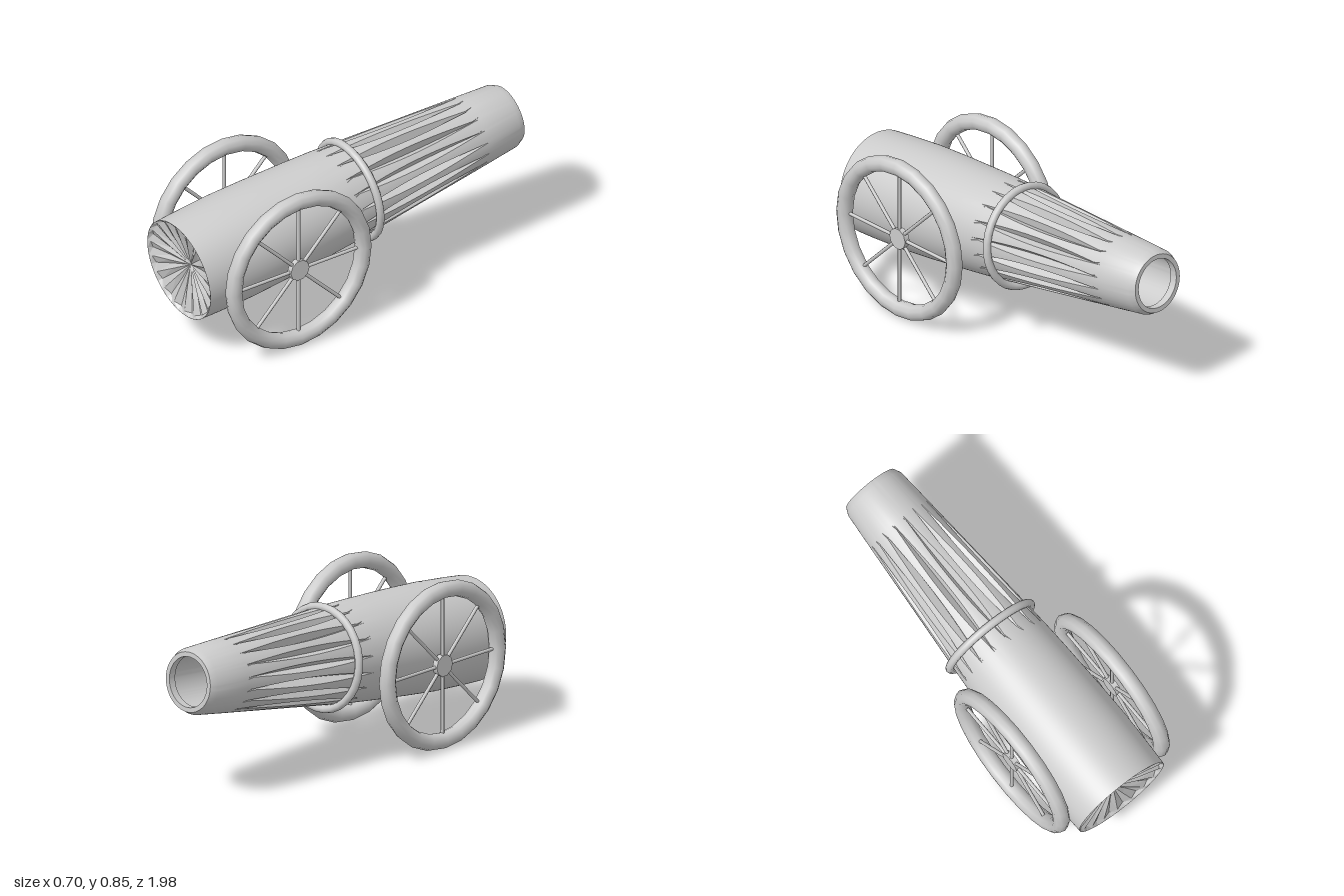
import * as THREE from 'three';
import { toCreasedNormals } from 'three/addons/utils/BufferGeometryUtils.js';

const FLUTES = 18;
const COLS = 6; // columns of vertices per flute
const FLUTE_START = 0.9, FLUTE_END = 1.72, FLUTE_DEPTH = 0.04;

const material = new THREE.MeshStandardMaterial({ color: 0xcccccc, side: THREE.DoubleSide });
const facetMaterial = new THREE.MeshStandardMaterial({ color: 0xcccccc, side: THREE.DoubleSide, flatShading: true });

function add(parent, name, geometry, mat = material) {
  const mesh = new THREE.Mesh(geometry, mat);
  mesh.name = name;
  parent.add(mesh);
  return mesh;
}

// Tapered tube with lens-shaped V grooves around its slim half and a bored muzzle
function barrelGeometry() {
  const profile = [[0.26, 0], [0.264, 0.1], [0.268, 0.3], [0.263, 0.5], [0.253, 0.75], [0.245, FLUTE_START]];
  const steps = 20;
  for (let i = 1; i <= steps; i++) {
    const t = i / steps;
    profile.push([0.245 - 0.064 * t, FLUTE_START + (FLUTE_END - FLUTE_START) * t]);
  }
  profile.push([0.165, 1.915], [0.148, 1.95], [0.125, 1.95], [0.125, 1.91], [0.135, 1.91], [0.135, 1.2], [0, 1.2]);

  const geometry = new THREE.LatheGeometry(profile.map(([r, y]) => new THREE.Vector2(r, y)), FLUTES * COLS);
  const pos = geometry.attributes.position;
  const rows = profile.length;
  const sector = (Math.PI * 2) / FLUTES;
  for (let i = 0; i < pos.count; i++) {
    const row = i % rows, col = Math.floor(i / rows);
    if (row < 6 || row >= 5 + steps) continue; // only the fluted zone
    const lens = Math.sin((Math.PI * (row - 5)) / steps);
    const edge = sector * 0.29 * lens;
    const offsets = [0, edge, (edge + sector / 2) / 2, sector / 2, sector - (edge + sector / 2) / 2, sector - edge];
    const angle = Math.floor(col / COLS) * sector + offsets[col % COLS];
    const r = profile[row][0] - (col % COLS === 0 ? FLUTE_DEPTH * lens : 0);
    pos.setX(i, r * Math.sin(angle));
    pos.setZ(i, r * Math.cos(angle));
  }
  return toCreasedNormals(geometry, 0.45);
}

// Sunken end cap with radial pleats
function capGeometry() {
  const points = [[0, 0.07], [0.13, 0.035], [0.245, 0.008], [0.26, 0]].map(([r, y]) => new THREE.Vector2(r, y));
  const geometry = new THREE.LatheGeometry(points, FLUTES * 2);
  const pos = geometry.attributes.position;
  for (let i = 0; i < pos.count; i++) {
    const row = i % 4, col = Math.floor(i / 4);
    if (col % 2 && (row === 1 || row === 2)) pos.setY(i, pos.getY(i) + 0.014);
  }
  return geometry;
}

// Spoked wheel standing in the yz plane
function createWheel(name) {
  const wheel = new THREE.Group();
  wheel.name = name;
  add(wheel, 'rim', new THREE.TorusGeometry(0.383, 0.041, 10, 24)).rotation.y = Math.PI / 2;
  add(wheel, 'hub', toCreasedNormals(new THREE.CylinderGeometry(0.055, 0.055, 0.03, 10), 0.7)).rotation.z = Math.PI / 2;
  const spoke = new THREE.CylinderGeometry(0.009, 0.009, 0.37, 8);
  spoke.translate(0, 0.185, 0);
  for (let i = 0; i < 8; i++) {
    add(wheel, 'spoke', spoke).rotation.x = (i * Math.PI) / 4;
  }
  return wheel;
}

export function createModel() {
  const model = new THREE.Group();
  model.name = 'cannon';

  // Barrel assembly, built upright and laid down with the muzzle slightly raised
  const barrel = new THREE.Group();
  barrel.name = 'barrelAssembly';
  barrel.position.set(-0.015, 0.43, 0.965);
  barrel.rotation.x = -Math.PI / 2 + 0.1;
  model.add(barrel);
  add(barrel, 'barrel', barrelGeometry());
  add(barrel, 'endCap', capGeometry(), facetMaterial);

  // Reinforcing ring
  const ring = add(barrel, 'ring', new THREE.TorusGeometry(0.251, 0.02, 10, 32));
  ring.rotation.x = Math.PI / 2;
  ring.position.set(0, 1.018, -0.006);

  // Wheels
  for (const [name, x] of [['leftWheel', 0.308], ['rightWheel', -0.311]]) {
    const wheel = createWheel(name);
    wheel.position.set(x, 0.427, 0.487);
    model.add(wheel);
  }
  return model;
}
